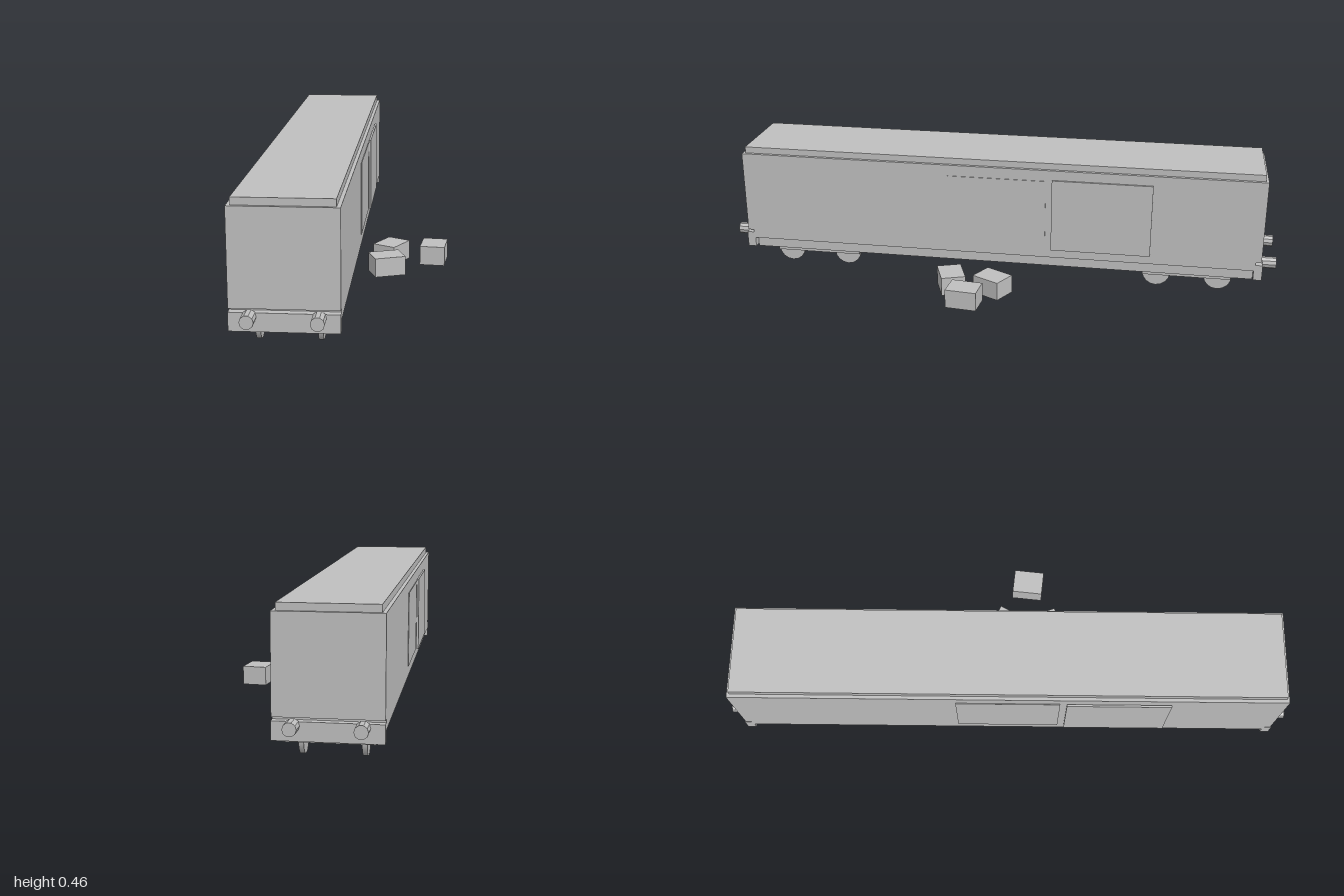
import * as THREE from 'three';

const grey = new THREE.MeshStandardMaterial({ color: 0xbfbfbf });
grey.name = 'plain grey';

export function createModel() {
  const model = new THREE.Group();
  model.name = 'boxcarWithCrates';
  const wagon = new THREE.Group();
  wagon.name = 'wagon';
  wagon.position.x = -0.1475;
  model.add(wagon);

  const add = (parent, name, geometry, x, y, z) => {
    const mesh = new THREE.Mesh(geometry, grey);
    mesh.name = name;
    mesh.position.set(x, y, z);
    parent.add(mesh);
    return mesh;
  };
  // Box given by its width, bottom, top, depth and centre
  const block = (name, w, y0, y1, d, x = 0, z = 0) =>
    add(wagon, name, new THREE.BoxGeometry(w, y1 - y0, d), x, (y0 + y1) / 2, z);

  // Body, roof and frame
  block('body', 0.323, 0.14, 0.44, 1.89);
  block('roof', 0.299, 0.44, 0.463, 1.87);
  block('floor', 0.323, 0.108, 0.14, 1.85);
  block('underframe', 0.267, 0.063, 0.108, 1.84);

  // Running gear and buffers, the same at both ends and on both sides
  const wheel = new THREE.CylinderGeometry(0.05, 0.05, 0.015, 16).rotateZ(Math.PI / 2);
  const buffer = new THREE.CylinderGeometry(0.021, 0.021, 0.055, 10, 1, false, Math.PI / 2)
    .rotateX(Math.PI / 2).toNonIndexed();
  buffer.computeVertexNormals();
  for (const end of [1, -1]) {
    block('bufferBeam', 0.323, 0.073, 0.13, 0.03, 0, end * 0.935);
    for (const side of [1, -1]) {
      add(wagon, 'buffer', buffer, side * 0.1, 0.118, end * 0.9725);
      block('bogieFrame', 0.024, 0.049, 0.066, 0.315, side * 0.11, end * 0.6875);
      for (const z of [0.8, 0.58]) add(wagon, 'wheel', wheel, side * 0.0925, 0.05, end * z);
    }
  }

  // Doorway panel and sliding door; the doors slide opposite ways
  for (const side of [1, -1]) {
    block('doorway', 0.005, 0.145, 0.4, 0.355, side * 0.1615, 0);
    block('slidingDoor', 0.007, 0.14, 0.406, 0.355, side * 0.1675, side * -0.3775);
  }

  // Crates beside the wagon: x, bottom, z, turn
  const crate = new THREE.BoxGeometry(0.087, 0.067, 0.11);
  for (const [x, y, z, turn] of [
    [0.1125, 0, -0.003, -0.5],
    [0.103, 0, 0.15, 1.92],
    [0.267, 0.023, 0.072, -0.1],
  ]) add(model, 'crate', crate, x, y + 0.0335, z).rotation.y = turn;

  return model;
}
